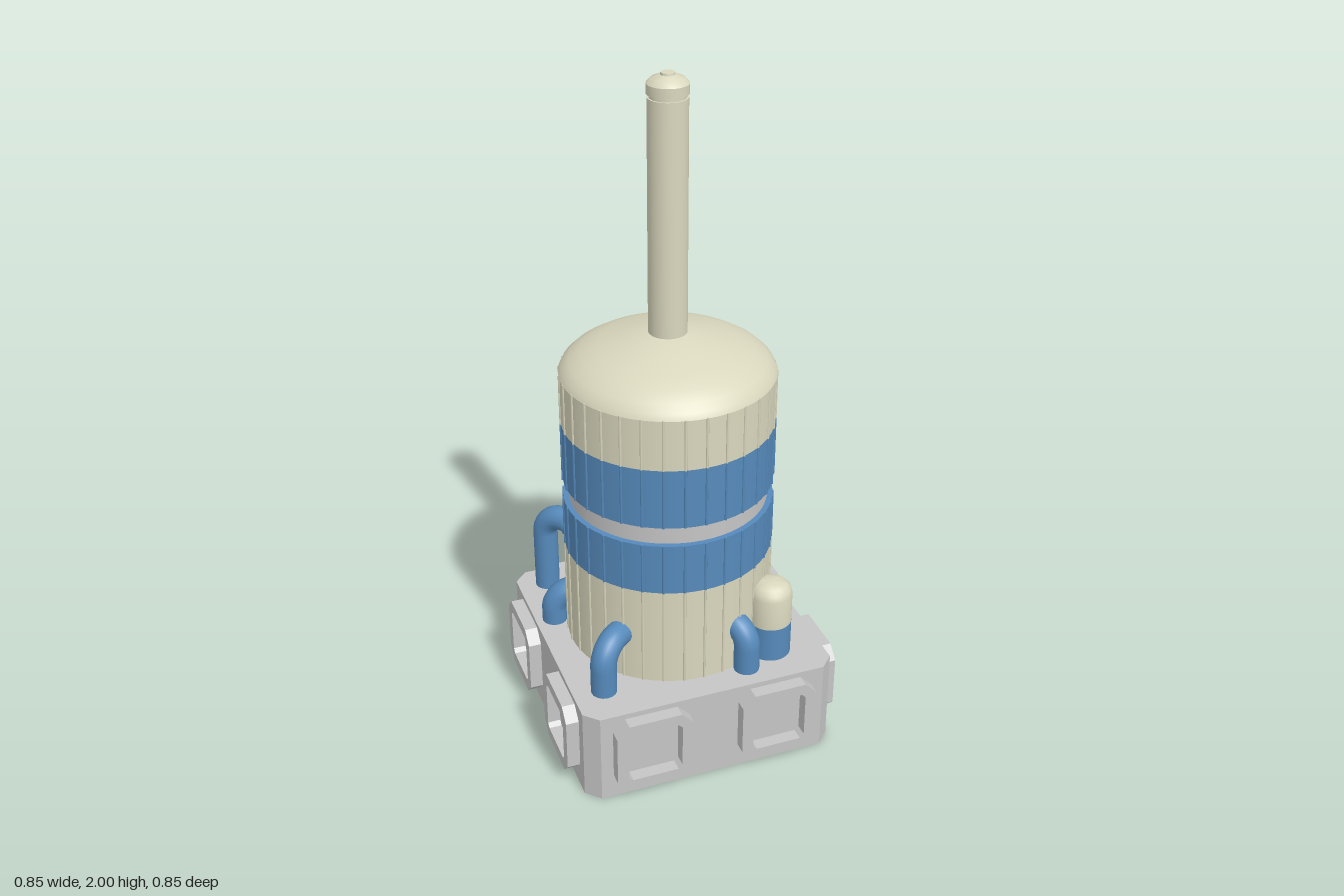
import * as THREE from 'three';
import { mergeGeometries, toCreasedNormals } from 'three/addons/utils/BufferGeometryUtils.js';

const material = (name, color) => {
  const m = new THREE.MeshStandardMaterial({ color });
  m.name = name;
  return m;
};
const V = (x, y, z) => new THREE.Vector3(x, y, z);

export function createModel() {
  const model = new THREE.Group();
  model.name = 'storageTank';
  const cream = material('cream', 0xd9d7bd);
  const blue = material('blue', 0x568abb);
  const grey = material('grey', 0xc5c5c5);

  const add = (name, geometry, mat, parent = model) => {
    const mesh = new THREE.Mesh(geometry, mat);
    mesh.name = name;
    parent.add(mesh);
    return mesh;
  };
  const lathe = (points, segments = 48) => toCreasedNormals(
    new THREE.LatheGeometry(points.map(([r, y]) => new THREE.Vector2(r, y)), segments), 0.6);

  // Outline of a square with cut corners
  const cutSquare = (h, c) => [
    [h, -h + c], [h, h - c], [h - c, h], [-h + c, h],
    [-h, h - c], [-h, -h + c], [-h + c, -h], [h - c, -h],
  ].map(([x, y]) => new THREE.Vector2(x, y));

  // Plinth
  const plinth = new THREE.ExtrudeGeometry(new THREE.Shape(cutSquare(0.385, 0.04)), { depth: 0.29, bevelEnabled: false });
  plinth.rotateX(-Math.PI / 2);
  add('plinth', plinth, grey);

  // Framed recesses, two on each side of the plinth
  const frameShape = new THREE.Shape(cutSquare(0.116, 0.037));
  frameShape.holes.push(new THREE.Path(cutSquare(0.081, 0.012).reverse()));
  const frame = new THREE.ExtrudeGeometry(frameShape, { depth: 0.042, bevelEnabled: false });
  for (let side = 0; side < 4; side++) {
    const group = new THREE.Group();
    group.name = 'plinthSide';
    group.rotation.y = side * Math.PI / 2;
    for (const x of [-0.192, 0.192]) add('panelFrame', frame, grey, group).position.set(x, 0.157, 0.381);
    model.add(group);
  }

  // Tank sections with fine upright ribs
  const section = (name, y0, y1, mat) => {
    const height = y1 - y0;
    const mid = (y0 + y1) / 2;
    const parts = [new THREE.CylinderGeometry(0.306, 0.306, height, 64).translate(0, mid, 0)];
    for (let i = 0; i < 32; i++) {
      const rib = new THREE.CylinderGeometry(0.004, 0.004, height, 6);
      rib.translate(0.306, mid, 0).rotateY(i * Math.PI / 16);
      parts.push(rib);
    }
    add(name, mergeGeometries(parts), mat);
  };
  section('lowerTank', 0.28, 0.6, cream);
  section('lowerBand', 0.6, 0.757, blue);
  section('upperBand', 0.817, 1.0, blue);
  section('upperTank', 1.0, 1.155, cream);
  add('waist', new THREE.CylinderGeometry(0.29, 0.29, 0.08, 64).translate(0, 0.787, 0), grey);

  // Domed roof
  add('roof', lathe([[0.308, 1.153], [0.3, 1.17], [0.28, 1.19], [0.245, 1.212],
    [0.2, 1.23], [0.13, 1.25], [0.055, 1.27], [0, 1.272]], 64), cream);

  // Mast with a groove under its cap
  add('mast', lathe([[0.055, 1.25], [0.055, 1.935], [0.05, 1.935], [0.05, 1.945], [0.057, 1.945],
    [0.057, 1.972], [0.045, 1.985], [0.02, 1.994], [0.019, 2], [0, 2]], 32), cream);

  // Small round-topped cylinder on the plinth
  const capsule = new THREE.Group();
  capsule.name = 'smallCylinder';
  capsule.position.set(0.231, 0, 0.245);
  add('smallCylinderBase', new THREE.CylinderGeometry(0.063, 0.063, 0.12, 32).translate(0, 0.34, 0), blue, capsule);
  add('smallCylinderTop', lathe([[0.063, 0.4], [0.063, 0.495], [0.058, 0.514],
    [0.045, 0.527], [0.025, 0.534], [0, 0.536]], 32), cream, capsule);
  model.add(capsule);

  // Elbow pipes: foot x, foot z, tank entry x, tank entry z, height of the level run
  const pipe = (x, z, endX, endZ, y) => {
    const bend = 0.065;
    const foot = V(x, 0.28, z);
    const end = V(endX, y, endZ);
    const corner = V(x, y, z);
    const inward = end.clone().sub(corner).normalize();
    const below = V(x, y - bend, z);
    const beyond = corner.clone().addScaledVector(inward, bend);
    const path = new THREE.CurvePath();
    const k = 0.552 * bend;
    path.add(new THREE.LineCurve3(foot, below));
    path.add(new THREE.CubicBezierCurve3(below, V(x, y - bend + k, z),
      beyond.clone().addScaledVector(inward, -k), beyond));
    path.add(new THREE.LineCurve3(beyond, end));
    add('pipe', new THREE.TubeGeometry(path, 40, 0.038, 16), blue);
    return inward;
  };
  const inward = pipe(-0.292, -0.308, -0.17, -0.165, 0.552);
  pipe(-0.325, -0.12, -0.23, -0.1, 0.395);
  pipe(0.09, -0.322, 0.075, -0.23, 0.43);
  pipe(0.3, -0.253, 0.18, -0.165, 0.393);
  pipe(-0.293, 0.263, -0.17, 0.165, 0.44);
  pipe(0.132, 0.307, 0.085, 0.22, 0.432);

  // Collar where the tall pipe meets the tank
  const collar = add('pipeCollar', new THREE.CylinderGeometry(0.046, 0.046, 0.06, 24), blue);
  collar.position.set(-0.215, 0.552, -0.218);
  collar.quaternion.setFromUnitVectors(V(0, 1, 0), inward);

  return model;
}
